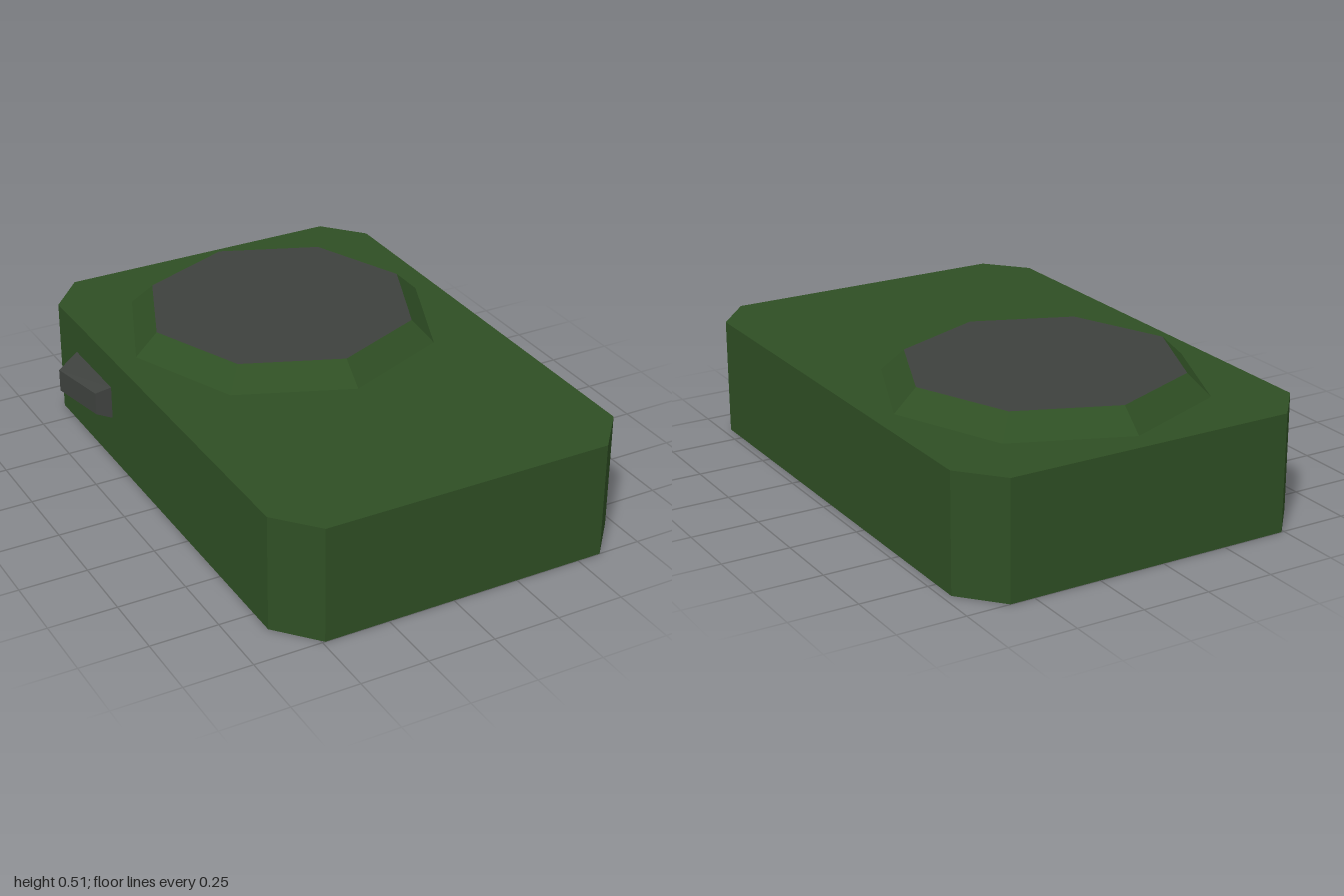
import * as THREE from 'three';
import { ConvexGeometry } from 'three/addons/geometries/ConvexGeometry.js';

export function createModel() {
  const green = new THREE.MeshStandardMaterial({ color: 0x2f4f24, name: 'dark green' });
  const grey = new THREE.MeshStandardMaterial({ color: 0x3e413e, name: 'dark grey' });
  green.flatShading = grey.flatShading = true;

  const model = new THREE.Group();
  const add = (name, geometry, material) => {
    const mesh = new THREE.Mesh(geometry, material);
    mesh.name = name;
    model.add(mesh);
    return mesh;
  };

  // Box body with four cut corners
  const outline = new THREE.Shape([
    [0.59, -1], [0.72, -0.85], [0.72, 0.85], [0.59, 1],
    [-0.49, 1], [-0.62, 0.85], [-0.62, -0.85], [-0.49, -1],
  ].map(([x, y]) => new THREE.Vector2(x, y)));
  const body = new THREE.ExtrudeGeometry(outline, { depth: 0.433, bevelEnabled: false });
  body.rotateX(-Math.PI / 2);
  add('body', body, green);

  // Raised octagonal lid: green bevelled rim, grey top face
  const lid = add('octagonalLid', new THREE.CylinderGeometry(0.502, 0.587, 0.08, 8), [green, grey, green]);
  lid.position.set(0.05, 0.473, -0.327);

  // Tapered side knob, its outer face slanting toward the back
  const knobSections = [
    { x: -0.62, z: -0.69, low: 0.18, high: 0.307 },
    { x: -0.62, z: -0.375, low: 0.18, high: 0.307 },
    { x: -0.72, z: -0.625, low: 0.2, high: 0.286 },
    { x: -0.675, z: -0.395, low: 0.2, high: 0.286 },
  ];
  const corners = knobSections.flatMap(({ x, z, low, high }) => [
    new THREE.Vector3(x, low, z), new THREE.Vector3(x, high, z),
  ]);
  add('sideKnob', new ConvexGeometry(corners), grey);

  return model;
}
